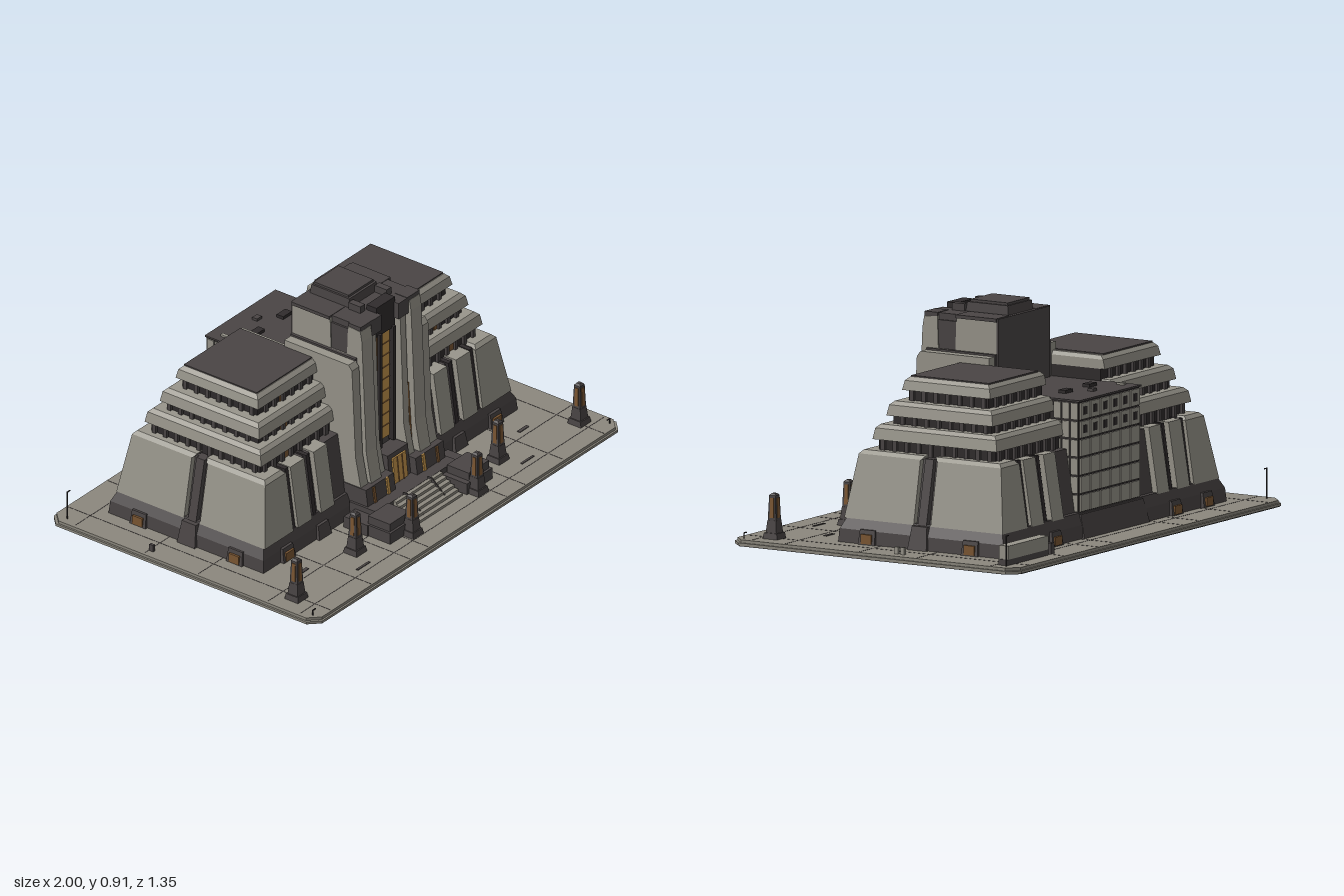
import * as THREE from 'three';

export function createModel() {
  const root = new THREE.Group();
  const mat = (name, color) => {
    const m = new THREE.MeshStandardMaterial({ color });
    m.name = name;
    return m;
  };
  const stone = mat('pale stone', 0x99968c);
  const paving = mat('paving', 0x8c887e);
  const dark = mat('dark cladding', 0x4a4545);
  const black = mat('shadow trim', 0x302c2d);
  const gold = mat('lit glass', 0xc4954c);
  const bronze = mat('bronze', 0x7d5833);

  const add = (name, geo, m) => {
    const mesh = new THREE.Mesh(geo, m);
    mesh.name = name;
    root.add(mesh);
  };
  // Block between two rectangles [x0, x1, z0, z1] at heights y0 and y1
  const block = (name, m, b, y0, y1, t = b) => {
    const g = new THREE.BoxGeometry(1, 1, 1);
    const p = g.attributes.position;
    for (let i = 0; i < p.count; i++) {
      const up = p.getY(i) > 0, r = up ? t : b;
      p.setXYZ(i, p.getX(i) > 0 ? r[1] : r[0], up ? y1 : y0, p.getZ(i) > 0 ? r[3] : r[2]);
    }
    g.computeVertexNormals();
    add(name, g, m);
  };
  const flip = r => [-r[1], -r[0], r[2], r[3]];
  // The same block on the left and right
  const pair = (name, m, b, y0, y1, t = b) => {
    block(name, m, b, y0, y1, t);
    block(name, m, flip(b), y0, y1, flip(t));
  };
  // Side profile [z, y] extruded between x0 and x1, on both sides
  const profilePair = (name, m, pts, x0, x1) => {
    for (const end of [x1, -x0]) {
      const shape = new THREE.Shape(pts.map(q => new THREE.Vector2(q[0], q[1])));
      const g = new THREE.ExtrudeGeometry(shape, { depth: x1 - x0, bevelEnabled: false });
      g.rotateY(-Math.PI / 2).translate(end, 0, 0);
      add(name, g, m);
    }
  };

  // Plaza slab with cut corners
  const slab = (name, m, e, y0, y1) => {
    const X = 1 - e, Z = 0.675 - e, c = 0.045;
    const s = new THREE.Shape([[-X + c, -Z], [X - c, -Z], [X, -Z + c], [X, Z - c],
      [X - c, Z], [-X + c, Z], [-X, Z - c], [-X, -Z + c]].map(q => new THREE.Vector2(...q)));
    const g = new THREE.ExtrudeGeometry(s, { depth: y1 - y0, bevelEnabled: false });
    add(name, g.rotateX(-Math.PI / 2).translate(0, y0, 0), m);
  };
  slab('slabUnderside', black, 0.004, 0, 0.003);
  slab('slabLower', paving, 0, 0.003, 0.014);
  slab('slabUpper', paving, 0.008, 0.014, 0.026);
  for (const x of [0.25, 0.37, 0.62, 0.88]) pair('pavingJoint', dark, [x, x + 0.003, -0.66, 0.66], 0.026, 0.0268);
  for (const z of [-0.55, -0.2, 0.07, 0.42, 0.58]) block('pavingJoint', dark, [-0.98, 0.98, z, z + 0.003], 0.026, 0.0268);
  pair('drain', dark, [0.49, 0.57, 0.545, 0.555], 0.026, 0.029);
  pair('drain', dark, [0.68, 0.74, 0.38, 0.395], 0.026, 0.029);

  // Plinth and podium
  block('plinth', dark, [-0.82, 0.82, -0.505, 0.275], 0.025, 0.08, [-0.815, 0.815, -0.5, 0.27]);
  block('plinthTop', dark, [-0.815, 0.815, -0.5, 0.27], 0.08, 0.125, [-0.79, 0.79, -0.48, 0.25]);
  block('podiumCore', dark, [-0.77, 0.77, -0.46, 0.24], 0.12, 0.378, [-0.72, 0.72, -0.42, 0.2]);
  pair('frontCornerPanel', stone, [0.61, 0.795, -0.065, 0.262], 0.12, 0.375, [0.61, 0.745, -0.065, 0.225]);
  pair('rearCornerPanel', stone, [0.61, 0.795, -0.485, -0.145], 0.12, 0.375, [0.61, 0.745, -0.445, -0.145]);
  pair('frontCornerCoping', stone, [0.615, 0.745, -0.07, 0.225], 0.375, 0.39, [0.625, 0.73, -0.08, 0.21]);
  pair('rearCornerCoping', stone, [0.615, 0.745, -0.445, -0.14], 0.375, 0.39, [0.625, 0.73, -0.43, -0.13]);
  for (const [a, b] of [[0.49, 0.58], [0.345, 0.43]]) {
    pair('frontPanel', stone, [a, b, 0.1, 0.262], 0.12, 0.385, [a, b, 0.1, 0.222]);
    pair('rearPanel', stone, [a, b, -0.485, -0.4], 0.12, 0.385, [a, b, -0.442, -0.4]);
  }
  // Pilasters and foot blocks
  for (const x of [0.46, 0.595]) {
    pair('frontPilaster', black, [x - 0.01, x + 0.01, 0.2, 0.252], 0.12, 0.385, [x - 0.01, x + 0.01, 0.15, 0.214]);
    pair('rearPilaster', black, [x - 0.01, x + 0.01, -0.473, -0.4], 0.12, 0.385, [x - 0.01, x + 0.01, -0.433, -0.35]);
  }
  pair('sidePilaster', dark, [0.74, 0.795, -0.125, -0.085], 0.12, 0.38, [0.7, 0.74, -0.125, -0.085]);
  for (const x of [0.44, 0.67]) {
    pair('frontFoot', dark, [x - 0.04, x + 0.04, 0.25, 0.292], 0.025, 0.085, [x - 0.033, x + 0.033, 0.25, 0.28]);
    pair('rearFoot', dark, [x - 0.04, x + 0.04, -0.52, -0.47], 0.025, 0.085, [x - 0.033, x + 0.033, -0.51, -0.47]);
    pair('rearVent', bronze, [x - 0.025, x + 0.025, -0.523, -0.514], 0.03, 0.065);
  }
  pair('frontVent', bronze, [0.645, 0.695, 0.285, 0.294], 0.03, 0.068);
  for (const z of [0.135, -0.35]) {
    pair('sideFoot', dark, [0.79, 0.832, z - 0.04, z + 0.04], 0.025, 0.085, [0.79, 0.822, z - 0.035, z + 0.035]);
    pair('sideVent', bronze, [0.826, 0.835, z - 0.025, z + 0.025], 0.03, 0.068);
  }
  pair('sideDoor', dark, [0.78, 0.835, -0.15, -0.06], 0.025, 0.12, [0.77, 0.815, -0.14, -0.07]);

  // Stepped tiers: dark window band under a pale parapet
  const tiers = [
    { x: 0.715, z0: -0.405, z1: 0.18, y: 0.378, p: 0.432, top: 0.492 },
    { x: 0.675, z0: -0.36, z1: 0.14, y: 0.48, p: 0.525, top: 0.583 },
    { x: 0.627, z0: -0.318, z1: 0.097, y: 0.57, p: 0.625, top: 0.678 }];
  const inner = 0.215;
  for (const { x, z0, z1, y, p, top } of tiers) {
    pair('windowBand', black, [inner, x - 0.02, z0 + 0.02, z1 - 0.02], y, p);
    pair('parapet', stone, [inner, x, z0, z1], p, top - 0.015, [inner, x - 0.008, z0 + 0.008, z1 - 0.008]);
    pair('parapetCap', stone, [inner, x - 0.008, z0 + 0.008, z1 - 0.008], top - 0.015, top,
      [inner + 0.01, x - 0.024, z0 + 0.024, z1 - 0.024]);
    for (let u = 0.27; u < x - 0.03; u += 0.056) {
      pair('mullion', dark, [u, u + 0.018, z1 - 0.025, z1 - 0.008], y, p);
      pair('mullion', dark, [u, u + 0.018, z0 + 0.008, z0 + 0.025], y, p);
    }
    for (let v = z0 + 0.03; v < z1 - 0.03; v += 0.056)
      pair('mullion', dark, [x - 0.025, x - 0.008, v, v + 0.018], y, p);
    pair('bandLight', bronze, [x - 0.2, x - 0.16, z1 - 0.022, z1 - 0.017], y + 0.01, p - 0.008);
  }
  pair('wingRoof', dark, [0.24, 0.602, -0.295, 0.07], 0.676, 0.683);

  // Rear annex with a grid of panels
  block('annex', black, [-0.222, 0.222, -0.475, 0], 0.025, 0.57);
  block('annexRoof', dark, [-0.228, 0.228, -0.482, 0], 0.57, 0.577);
  for (let r = 0; r < 6; r++) {
    const y = 0.128 + r * 0.074;
    for (let c = 0; c < 6; c++) {
      const x = -0.219 + c * 0.0735;
      block('annexPanel', stone, [x, x + 0.066, -0.481, -0.47], y, y + 0.066);
      if (r > 3) block('annexWindow', black, [x + 0.02, x + 0.046, -0.483, -0.48], y + 0.018, y + 0.05);
    }
    for (let c = 0; c < 3; c++) {
      const z = -0.473 + c * 0.04;
      pair('annexSidePanel', stone, [0.215, 0.227, z, z + 0.034], y, y + 0.066);
    }
  }
  block('annexBase', dark, [-0.24, 0.24, -0.515, -0.46], 0.025, 0.12, [-0.23, 0.23, -0.49, -0.46]);
  pair('roofUnit', black, [0.06, 0.115, -0.345, -0.312], 0.57, 0.59);
  block('roofHatch', dark, [-0.015, 0.015, -0.41, -0.385], 0.57, 0.588);
  block('roofVent', stone, [-0.195, -0.18, -0.43, -0.395], 0.57, 0.585);

  // Central tower with flared stone buttresses
  block('towerCore', dark, [-0.18, 0.18, -0.072, 0.235], 0.025, 0.862);
  profilePair('towerButtress', stone, [[-0.068, 0.1], [0.345, 0.1], [0.322, 0.19], [0.302, 0.3], [0.28, 0.8],
    [0.272, 0.845], [0.21, 0.85], [0.205, 0.72], [0.125, 0.72], [0.12, 0.855], [-0.068, 0.855]], 0.125, 0.192);
  profilePair('towerShoulder', stone, [[-0.068, 0.1], [0.335, 0.1], [0.312, 0.19], [0.29, 0.3], [0.272, 0.69],
    [0.255, 0.712], [-0.068, 0.712]], 0.2, 0.246);
  profilePair('shoulderGap', dark, [[-0.07, 0.1], [0.315, 0.1], [0.28, 0.3], [0.255, 0.72], [-0.07, 0.72]], 0.185, 0.205);
  profilePair('innerFin', stone, [[0.2, 0.1], [0.325, 0.1], [0.3, 0.2], [0.28, 0.3], [0.262, 0.78],
    [0.25, 0.8], [0.2, 0.8]], 0.078, 0.112);
  profilePair('finFoot', dark, [[0.1, 0.025], [0.365, 0.025], [0.345, 0.17], [0.1, 0.17]], 0.07, 0.25);
  pair('notch', dark, [0.17, 0.188, 0.12, 0.21], 0.715, 0.835);
  block('towerBack', dark, [-0.19, 0.19, -0.076, -0.066], 0.57, 0.862);
  pair('roofEdge', dark, [0.1, 0.198, -0.07, 0.12], 0.85, 0.864);
  pair('frontRoofEdge', dark, [0.11, 0.19, 0.21, 0.272], 0.846, 0.864);
  pair('frontCrown', dark, [0.055, 0.12, 0.2, 0.272], 0.79, 0.862);
  block('crownLintel', black, [-0.06, 0.06, 0.2, 0.25], 0.75, 0.885);
  block('towerCap', dark, [-0.092, 0.092, -0.06, 0.14], 0.86, 0.9, [-0.088, 0.088, -0.055, 0.135]);
  block('capLid', dark, [-0.08, 0.08, -0.05, 0.125], 0.9, 0.91);
  pair('capPost', dark, [0.07, 0.1, 0.14, 0.2], 0.86, 0.892);
  pair('buttressSlot', bronze, [0.114, 0.123, 0.23, 0.288], 0.2, 0.47, [0.114, 0.123, 0.23, 0.27]);

  // Tall lit window
  block('tallWindow', gold, [-0.034, 0.034, 0.234, 0.242], 0.26, 0.745);
  pair('windowFrame', black, [0.036, 0.052, 0.23, 0.262], 0.24, 0.76);
  pair('windowReveal', bronze, [0.052, 0.06, 0.23, 0.25], 0.24, 0.75);
  for (let i = 1; i < 9; i++) block('windowBar', bronze, [-0.034, 0.034, 0.24, 0.245], 0.26 + i * 0.054, 0.2635 + i * 0.054);

  // Entrance, terrace and steps
  block('portal', dark, [-0.07, 0.07, 0.2, 0.33], 0.025, 0.23, [-0.065, 0.065, 0.2, 0.31]);
  block('door', gold, [-0.042, 0.042, 0.321, 0.33], 0.1, 0.21, [-0.042, 0.042, 0.31, 0.319]);
  pair('doorBar', bronze, [0.013, 0.017, 0.325, 0.333], 0.1, 0.21, [0.013, 0.017, 0.314, 0.322]);
  pair('sideLight', gold, [0.108, 0.124, 0.353, 0.361], 0.1, 0.17, [0.108, 0.124, 0.343, 0.351]);
  pair('outerLight', bronze, [0.196, 0.21, 0.353, 0.361], 0.1, 0.165, [0.196, 0.21, 0.343, 0.351]);
  block('terrace', dark, [-0.26, 0.26, 0.27, 0.405], 0.025, 0.098);
  pair('terraceWing', dark, [0.25, 0.335, 0.3, 0.42], 0.025, 0.075);
  for (let i = 0; i < 6; i++)
    block('step', paving, [-0.15, 0.15, 0.4, 0.52 - i * 0.02], 0.025 + i * 0.012, 0.037 + i * 0.012);
  pair('stepRail', dark, [0.077, 0.081, 0.4, 0.51], 0.03, 0.105, [0.077, 0.081, 0.4, 0.42]);
  pair('flankBlock', dark, [0.165, 0.33, 0.4, 0.53], 0.025, 0.075);
  pair('flankTop', dark, [0.19, 0.32, 0.41, 0.52], 0.075, 0.11);

  // Obelisk lamps
  for (const [x, z] of [[-0.89, 0.495], [0.89, 0.53], [-0.46, 0.455], [0.46, 0.455], [-0.21, 0.545], [0.21, 0.545]]) {
    const rect = (a, b) => [x - a, x + a, z - b, z + b];
    const sq = r => rect(r, r);
    block('obeliskBase', dark, sq(0.034), 0.025, 0.05, sq(0.03));
    block('obeliskFoot', dark, sq(0.025), 0.05, 0.1, sq(0.02));
    block('obeliskShaft', dark, sq(0.019), 0.1, 0.2, sq(0.015));
    block('obeliskCap', dark, sq(0.015), 0.2, 0.208, sq(0.008));
    block('obeliskLight', bronze, rect(0.009, 0.021), 0.11, 0.19, rect(0.008, 0.018));
    block('obeliskLight', bronze, rect(0.021, 0.009), 0.11, 0.19, rect(0.018, 0.008));
  }

  // Corner lamp posts, rear trailer and bollards
  for (const [z, h] of [[-0.605, 0.15], [0.63, 0.05]]) {
    pair('lampPost', black, [0.955, 0.959, z - 0.002, z + 0.002], 0.025, h);
    pair('lampArm', black, [0.94, 0.959, z - 0.002, z + 0.002], h - 0.004, h);
  }
  block('trailerBed', dark, [0.64, 0.945, -0.602, -0.562], 0.026, 0.05);
  block('trailerBox', stone, [0.645, 0.94, -0.605, -0.56], 0.05, 0.105);
  block('trailerCab', dark, [0.59, 0.618, -0.598, -0.57], 0.026, 0.07);
  for (const z of [-0.11, -0.08]) block('bollard', stone, [0.935, 0.947, z - 0.008, z + 0.008], 0.025, 0.055);
  block('bollard', dark, [-0.955, -0.943, -0.195, -0.175], 0.025, 0.055);
  return root;
}
